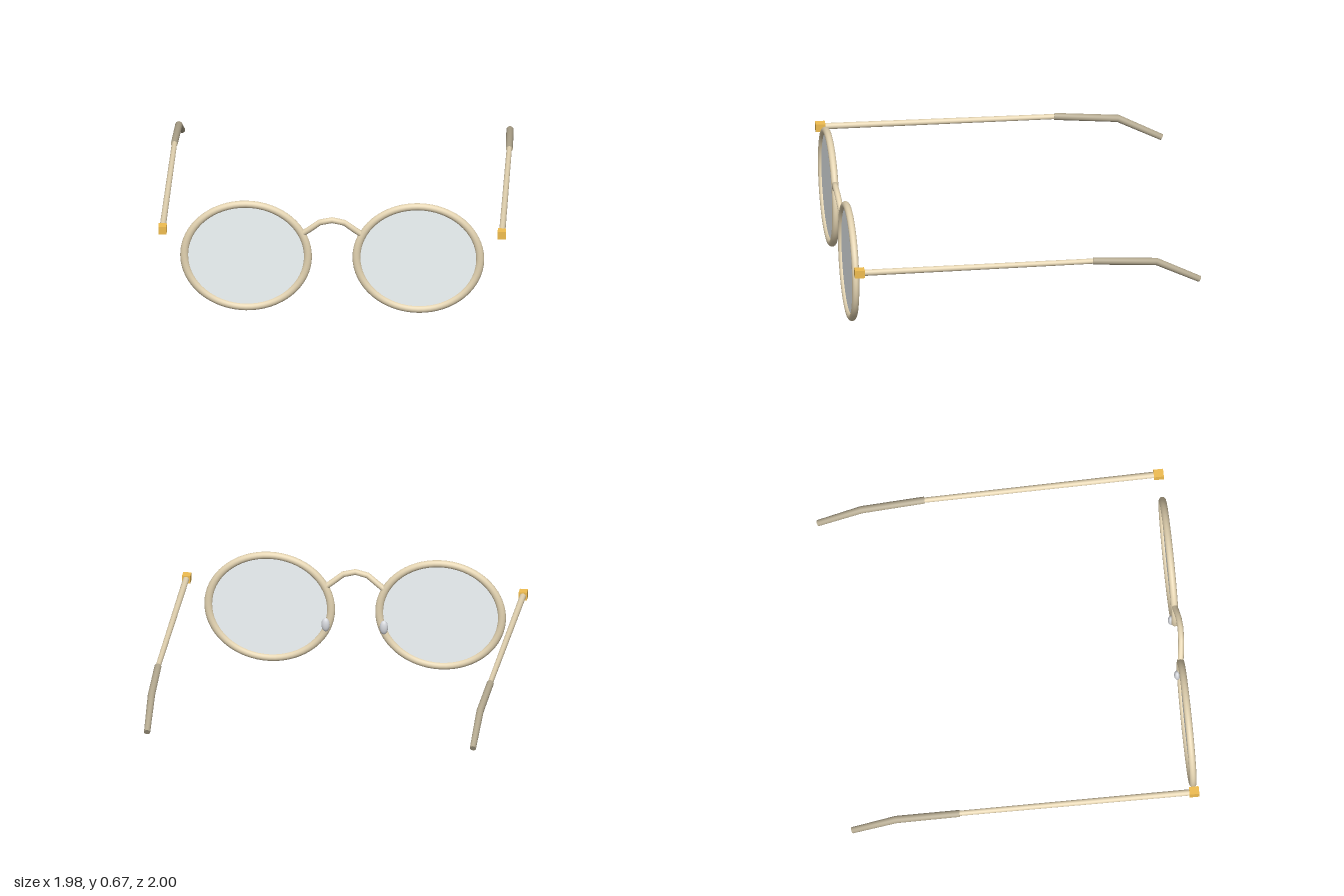
import * as THREE from 'three';

const mat = (color) => new THREE.MeshStandardMaterial({ color });
const V = (x, y, z) => new THREE.Vector3(x, y, z);

// Capped rod through a list of points, with one radius per point.
function sweep(points, radii, ref, sides = 16) {
  const pos = [], idx = [], n = points.length;
  const ring = (i) => {
    const t = points[Math.min(i + 1, n - 1)].clone().sub(points[i]).normalize();
    if (i > 0) t.add(points[i].clone().sub(points[i - 1]).normalize()).normalize();
    const u = ref.clone().addScaledVector(t, -ref.dot(t)).normalize();
    const v = t.clone().cross(u);
    const first = pos.length / 3;
    for (let j = 0; j < sides; j++) {
      const a = (j / sides) * Math.PI * 2;
      const p = points[i].clone()
        .addScaledVector(u, Math.cos(a) * radii[i])
        .addScaledVector(v, Math.sin(a) * radii[i]);
      pos.push(p.x, p.y, p.z);
    }
    return first;
  };
  // walls
  let prev = ring(0);
  for (let i = 1; i < n; i++) {
    const next = ring(i);
    for (let j = 0; j < sides; j++) {
      const k = (j + 1) % sides;
      idx.push(prev + j, prev + k, next + k, prev + j, next + k, next + j);
    }
    prev = next;
  }
  // end caps with their own vertices, so the edge stays sharp
  for (const i of [0, n - 1]) {
    const first = ring(i), c = pos.length / 3;
    pos.push(...points[i].toArray());
    for (let j = 0; j < sides; j++) {
      const k = (j + 1) % sides;
      if (i === 0) idx.push(c, first + k, first + j);
      else idx.push(c, first + j, first + k);
    }
  }
  const g = new THREE.BufferGeometry();
  g.setAttribute('position', new THREE.Float32BufferAttribute(pos, 3));
  g.setIndex(idx);
  g.computeVertexNormals();
  return g;
}

export function createModel() {
  const model = new THREE.Group();
  model.name = 'eyeglasses';
  const frame = mat(0xe4d4b2), tipMat = mat(0xb3a88f), brass = mat(0xf0bd50);
  const glass = mat(0xf3f9fb), padMat = mat(0xd6d8dd);
  const add = (name, geometry, material, x = 0, y = 0, z = 0) => {
    const m = new THREE.Mesh(geometry, material);
    m.name = name;
    m.position.set(x, y, z);
    model.add(m);
    return m;
  };

  const rimX = 0.49, rimY = 0.334, rimZ = 0.966, stretch = 1.124;
  for (const [side, s] of [['left', 1], ['right', -1]]) {
    // oval rim and its thin lens
    add(`${side}Rim`, new THREE.TorusGeometry(0.313, 0.0205, 16, 64), frame, s * rimX, rimY, rimZ)
      .scale.x = stretch;
    const disc = new THREE.CylinderGeometry(0.305, 0.305, 0.006, 64).rotateX(Math.PI / 2);
    add(`${side}Lens`, disc, glass, s * rimX, rimY, rimZ).scale.x = stretch;

    // nose pad behind the inner edge of the rim
    add(`${side}NosePad`, new THREE.SphereGeometry(1, 20, 14), padMat, s * 0.167, 0.247, 0.946)
      .scale.set(0.024, 0.041, 0.018);

    // hinge block
    add(`${side}Hinge`, new THREE.BoxGeometry(0.047, 0.047, 0.056), brass, s * 0.965, 0.486, 0.959);

    // temple arm
    add(`${side}Temple`, sweep(
      [V(s * 0.966, 0.486, 0.95), V(s * 0.952, 0.48, -0.41)],
      [0.018, 0.015], V(1, 0, 0)), frame);

    // ear tip, bent down at the back
    add(`${side}EarTip`, sweep(
      [V(s * 0.953, 0.48, -0.38), V(s * 0.942, 0.453, -0.742), V(s * 0.934, 0.325, -0.991)],
      [0.02, 0.021, 0.018], V(1, 0, 0)), tipMat);
  }

  // arched bridge, bowed slightly forward
  const arch = [
    V(-0.174, 0.468, 0.965), V(-0.125, 0.505, 0.972), V(-0.07, 0.548, 0.979), V(0, 0.564, 0.983),
    V(0.07, 0.548, 0.979), V(0.125, 0.505, 0.972), V(0.174, 0.468, 0.965),
  ];
  add('bridge', sweep(arch, arch.map(() => 0.017), V(0, 0, 1)), frame);

  return model;
}
